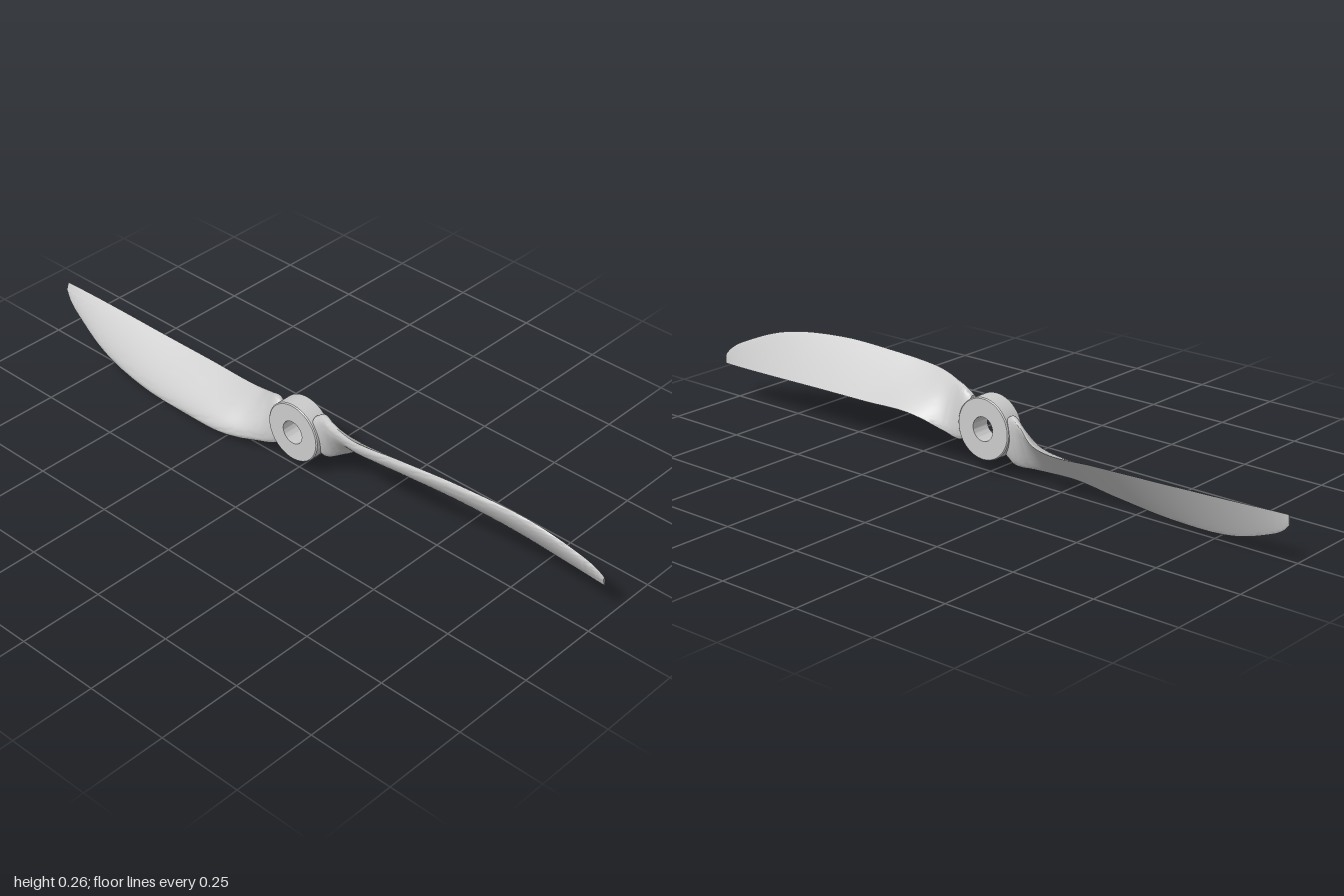
import * as THREE from 'three';
import { toCreasedNormals } from 'three/addons/utils/BufferGeometryUtils.js';

const AXIS_Y = 0.131;
const material = new THREE.MeshStandardMaterial({ color: 0xcccccc });

// Blade stations: [x, leading y, leading z, trailing y, trailing z, front bulge, back bulge, root bluntness]
const STATIONS = [
  [0.065, 0.205, 0.003, 0.095, -0.012, 0.022, 0.018, 1],
  [0.09, 0.222, 0.003, 0.077, -0.018, 0.024, 0.018, 1],
  [0.14, 0.23, 0.024, 0.097, -0.04, 0.026, 0.011, 0.6],
  [0.19, 0.236, 0.042, 0.122, -0.062, 0.027, 0.005, 0.25],
  [0.25, 0.241, 0.055, 0.134, -0.07, 0.028, 0.002, 0],
  [0.4, 0.254, 0.048, 0.13, -0.068, 0.026, 0.001, 0],
  [0.6, 0.262, 0.031, 0.126, -0.064, 0.021, 0.001, 0],
  [0.8, 0.242, 0.0, 0.121, -0.06, 0.015, 0.001, 0],
  [0.92, 0.2, -0.026, 0.118, -0.056, 0.01, 0.001, 0],
  [0.98, 0.168, -0.04, 0.117, -0.053, 0.006, 0.001, 0],
  [1.0, 0.147, -0.047, 0.117, -0.052, 0.004, 0.001, 0],
];

// Twisted blade lofted through interpolated aerofoil sections
function bladeGeometry() {
  const rings = 72, half = 20, count = half * 2;
  const xs = STATIONS.map((s) => s[0]);
  const curve = new THREE.CubicInterpolant(xs, STATIONS.flatMap((s) => s.slice(1)), 7, new Float32Array(7));
  const positions = [], index = [];

  for (let i = 0; i <= rings; i++) {
    // closer sections near the tip and root
    const t = i / rings;
    const x = 0.065 + 0.935 * (t - 0.1 * Math.sin(2 * Math.PI * t));
    const [ly, lz, ty, tz, front, back, blunt] = curve.evaluate(x);
    const dy = ly - ty, dz = lz - tz, chord = Math.hypot(dy, dz);
    for (let j = 0; j < count; j++) {
      const a = (j / half) * Math.PI;
      const u = (1 - Math.cos(a)) / 2; // 0 leading edge, 1 trailing edge
      const foil = 2.6 * Math.sqrt(u) * (1 - u);
      const block = Math.pow(Math.max(4 * u * (1 - u), 0), 0.35);
      const shape = THREE.MathUtils.lerp(foil, block, THREE.MathUtils.clamp(blunt, 0, 1));
      const offset = shape * (j <= half ? front : -Math.max(back, 0.001));
      positions.push(x, ly - dy * u - (dz / chord) * offset - AXIS_Y, lz - dz * u + (dy / chord) * offset);
    }
  }
  for (let i = 0; i < rings; i++) {
    for (let j = 0; j < count; j++) {
      const k = (j + 1) % count;
      const a = i * count + j, b = i * count + k, c = b + count, d = a + count;
      index.push(a, b, d, b, c, d);
    }
  }
  // root and tip caps, bridging the front and back of the section
  const tip = rings * count;
  for (let j = 0; j < half; j++) {
    const f0 = j, f1 = j + 1, b0 = (count - j) % count, b1 = count - j - 1;
    if (f0 !== b0) {
      index.push(f0, b0, f1, tip + f0, tip + f1, tip + b0);
    }
    if (f1 !== b1) {
      index.push(f1, b0, b1, tip + f1, tip + b1, tip + b0);
    }
  }
  const geometry = new THREE.BufferGeometry();
  geometry.setAttribute('position', new THREE.Float32BufferAttribute(positions, 3));
  geometry.setIndex(index);
  return toCreasedNormals(geometry, 0.7);
}

// Hub ring with a through bore, turned about the z axis
function hubGeometry() {
  const R = 0.09, bore = 0.035, back = -0.033, front = 0.027, e = 0.003;
  const profile = [
    [bore, back], [R - e, back], [R, back + e], [R, front - e], [R - e, front], [bore, front], [bore, back],
  ].map(([r, h]) => new THREE.Vector2(r, h));
  const geometry = new THREE.LatheGeometry(profile, 64);
  geometry.rotateX(Math.PI / 2);
  return toCreasedNormals(geometry, 0.5);
}

export function createModel() {
  const model = new THREE.Group();
  model.name = 'propeller';

  const hub = new THREE.Mesh(hubGeometry(), material);
  hub.name = 'hub';
  hub.position.y = AXIS_Y;
  model.add(hub);

  // Two identical blades, half a turn apart
  const geometry = bladeGeometry();
  ['leftBlade', 'rightBlade'].forEach((name, i) => {
    const blade = new THREE.Mesh(geometry, material);
    blade.name = name;
    blade.position.y = AXIS_Y;
    blade.rotation.z = i * Math.PI;
    model.add(blade);
  });
  return model;
}
